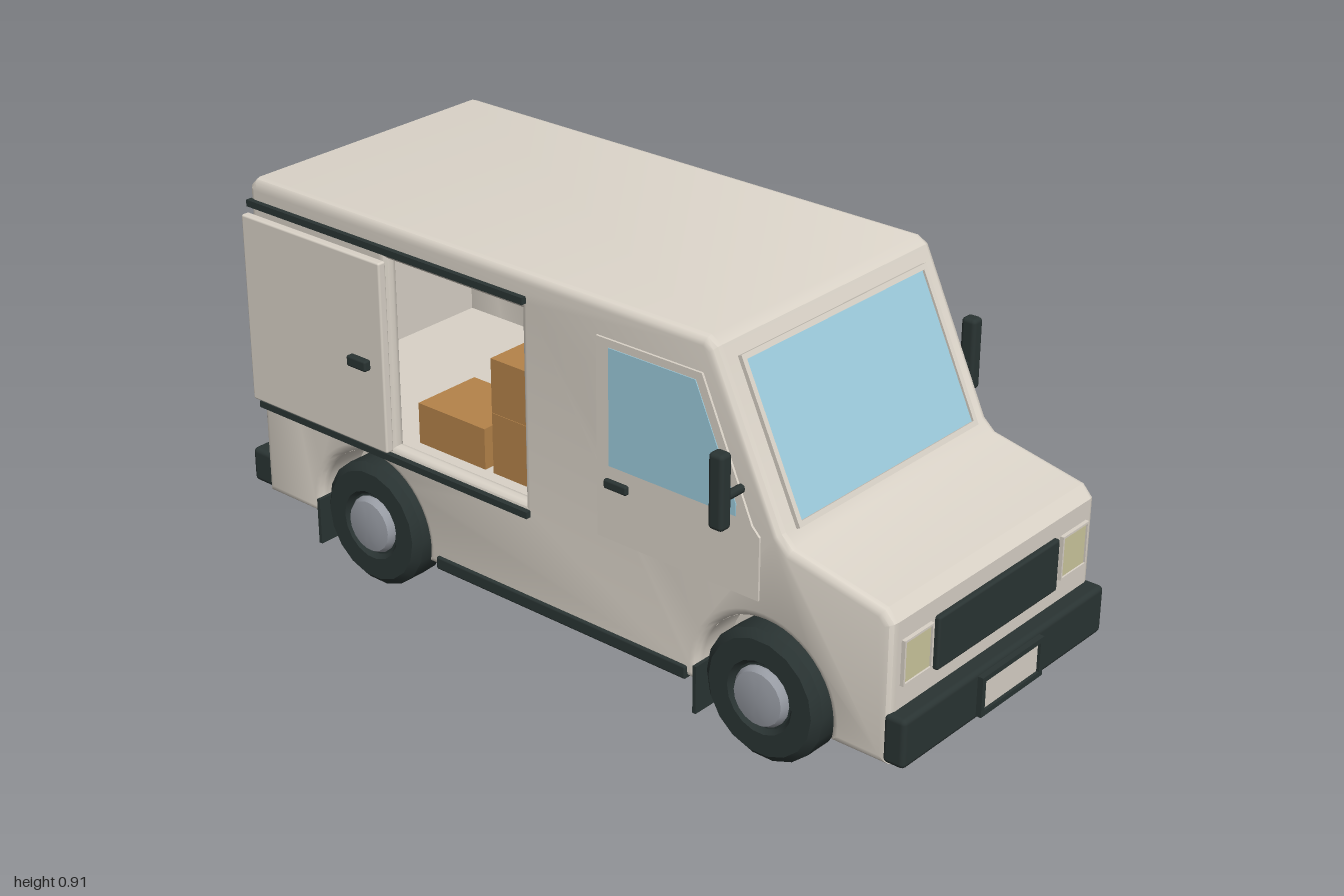
import * as THREE from 'three';
import { toCreasedNormals } from 'three/addons/utils/BufferGeometryUtils.js';
import { RoundedBoxGeometry } from 'three/addons/geometries/RoundedBoxGeometry.js';

const mat = (name, color, side = THREE.FrontSide) => {
  const m = new THREE.MeshStandardMaterial({ color, side });
  m.name = name;
  return m;
};

export function createModel() {
  const van = new THREE.Group();
  van.name = 'deliveryVan';
  const paint = mat('cream paint', 0xd9d2c7, THREE.DoubleSide);
  const dark = mat('dark rubber', 0x2a3433);
  const glass = mat('window glass', 0x9ccbdc);
  const blue = mat('blue panel', 0x3f73c4);
  const metal = mat('grey metal', 0x979ba3);
  const red = mat('tail light red', 0xb5402f);
  const lamp = mat('headlight cream', 0xcdc79e);
  const card = mat('cardboard', 0xb5834a);

  const add = (name, geo, m, x = 0, y = 0, z = 0) => {
    const mesh = new THREE.Mesh(geo, m);
    mesh.name = name;
    mesh.position.set(x, y, z);
    van.add(mesh);
    return mesh;
  };
  // box given by its min and max on each axis
  const box = (name, m, x0, x1, y0, y1, z0, z1, r = 0) => {
    const s = [Math.abs(x1 - x0), y1 - y0, z1 - z0];
    const g = r ? new RoundedBoxGeometry(...s, 2, r) : new THREE.BoxGeometry(...s);
    return add(name, g, m, (x0 + x1) / 2, (y0 + y1) / 2, (z0 + z1) / 2);
  };
  const poly = (pts) => new THREE.Shape(pts.map((p) => new THREE.Vector2(p[0], p[1])));
  // extrude a (z, y) side shape, centred across x
  const sideExtrude = (shape, depth, opts = {}) => {
    const g = new THREE.ExtrudeGeometry(shape, { depth, bevelEnabled: false, curveSegments: 14, ...opts });
    g.translate(0, 0, -depth / 2).rotateY(-Math.PI / 2);
    return toCreasedNormals(g, 0.6);
  };
  // rectangular border facing z
  const frame = (w, h, t, d) => {
    const rect = (a, b) => [[-a, -b], [a, -b], [a, b], [-a, b]];
    const s = poly(rect(w / 2 + t, h / 2 + t));
    s.holes.push(poly(rect(w / 2, h / 2)));
    return new THREE.ExtrudeGeometry(s, { depth: d, bevelEnabled: false });
  };

  const axles = [0.626, -0.518];
  const axleY = 0.153, archR = 0.175;

  // body shell: front, windscreen slope, roof and back
  const outline = [[-0.88, 0.115], [-0.88, 0.895], [-0.86, 0.915], [0.465, 0.915], [0.492, 0.9],
    [0.662, 0.54], [0.69, 0.515], [0.92, 0.467], [0.945, 0.44], [0.945, 0.115]];
  const inner = [[0.925, 0.115], [0.925, 0.44], [0.66, 0.495], [0.64, 0.52], [0.475, 0.875],
    [0.46, 0.895], [-0.86, 0.895], [-0.86, 0.115]];
  add('bodyShell', sideExtrude(poly([...outline, ...inner]), 0.686), paint);

  // side walls with wheel arches, the left-hand negative side having a doorway
  for (const s of [1, -1]) {
    const wall = poly(outline);
    const a = Math.asin((axleY - 0.115) / archR);
    for (const z of axles) wall.absarc(z, axleY, archR, -a, Math.PI + a, false);
    if (s < 0) wall.holes.push(poly([[-0.44, 0.375], [-0.04, 0.375], [-0.04, 0.83], [-0.44, 0.83]]));
    add('sideWall', sideExtrude(wall, 0.001, {
      bevelEnabled: true, bevelThickness: 0.02, bevelSize: 0.02, bevelOffset: -0.02, bevelSegments: 3,
    }), paint, s * 0.343);
    for (const [z0, z1] of [[-0.87, -0.69], [-0.347, 0.455], [0.797, 0.94]])
      box('sideFloor', paint, s * 0.25, s * 0.345, 0.115, 0.13, z0, z1);
  }
  box('underFloor', paint, -0.25, 0.25, 0.115, 0.13, -0.87, 0.94);
  box('cargoFloor', paint, -0.335, 0.335, 0.355, 0.37, -0.86, 0.6);

  // wheels, wells and mud flaps
  const tyreProfile = [[0.06, -0.052], [0.135, -0.052], [0.153, -0.035], [0.153, 0.035], [0.135, 0.052],
    [0.085, 0.052], [0.075, 0.04], [0.06, 0.04]].map((p) => new THREE.Vector2(...p));
  const hubProfile = [[0, -0.05], [0.07, -0.05], [0.07, 0.045], [0.062, 0.058], [0.04, 0.062], [0, 0.064]]
    .map((p) => new THREE.Vector2(...p));
  const tyreGeo = toCreasedNormals(new THREE.LatheGeometry(tyreProfile, 18), 0.5);
  const hubGeo = toCreasedNormals(new THREE.LatheGeometry(hubProfile, 18), 0.5);
  for (const s of [1, -1]) for (const z of axles) {
    for (const [name, g, m] of [['tyre', tyreGeo, dark], ['hub', hubGeo, metal]])
      add(name, g, m, s * 0.321, axleY, z).rotation.z = -s * Math.PI / 2;
    const well = new THREE.CylinderGeometry(archR, archR, 0.1, 16, 1, true, -Math.PI / 2, Math.PI);
    well.rotateX(-Math.PI / 2).rotateY(Math.PI / 2);
    add('wheelWell', well, paint, s * 0.295, axleY, z);
    const cap = new THREE.CircleGeometry(archR, 16, 0, Math.PI).rotateY(Math.PI / 2);
    add('wellInnerWall', cap, paint, s * 0.25, axleY, z);
    box('mudFlap', dark, s * 0.275, s * 0.38, 0.05, 0.165, z - 0.172, z - 0.163);
  }

  // windscreen
  const screen = new THREE.Group();
  screen.name = 'windscreen';
  screen.position.set(0, 0.703, 0.586);
  screen.rotation.x = -Math.atan2(0.17, 0.36);
  const pane = new THREE.Mesh(new THREE.BoxGeometry(0.605, 0.348, 0.009), glass);
  pane.name = 'windscreenGlass';
  const border = new THREE.Mesh(frame(0.6, 0.345, 0.012, 0.01), paint);
  border.name = 'windscreenFrame';
  screen.add(pane, border);
  van.add(screen);

  // grille, headlights, front bumper
  box('grille', dark, -0.218, 0.216, 0.276, 0.4, 0.935, 0.957, 0.006);
  for (const s of [1, -1]) {
    box('headlight', lamp, s * 0.238, s * 0.325, 0.296, 0.39, 0.944, 0.95);
    add('headlightFrame', frame(0.088, 0.094, 0.005, 0.01), paint, s * 0.2815, 0.343, 0.944);
  }
  box('frontBumper', dark, -0.363, 0.363, 0.122, 0.237, 0.93, 0.985, 0.012);
  add('frontPlateFrame', frame(0.2, 0.07, 0.012, 0.014), dark, 0, 0.18, 0.984);
  box('frontPlate', paint, -0.1, 0.1, 0.145, 0.215, 0.984, 0.991);

  // cab doors, windows, handles, mirrors and sills
  const door = [[0.615, 0.375], [0.18, 0.375], [0.18, 0.838], [0.462, 0.838], [0.595, 0.54], [0.615, 0.52]];
  const win = [[0.555, 0.55], [0.215, 0.55], [0.215, 0.82], [0.447, 0.82], [0.555, 0.578]];
  for (const s of [1, -1]) {
    add('cabDoor', sideExtrude(poly(door), 0.012), paint, s * 0.363);
    add('cabWindow', sideExtrude(poly(win), 0.008), glass, s * 0.367);
    box('cabDoorHandle', dark, s * 0.365, s * 0.379, 0.498, 0.52, 0.205, 0.268, 0.005);
    box('mirror', dark, s * 0.415, s * 0.449, 0.55, 0.721, 0.544, 0.582, 0.01);
    const arm = add('mirrorArm', new THREE.CylinderGeometry(0.01, 0.01, 0.07, 8), dark, s * 0.388, 0.614, 0.563);
    arm.rotation.z = Math.PI / 2;
    box('sill', dark, s * 0.345, s * 0.371, 0.114, 0.146, -0.31, 0.425, 0.005);
  }

  // side advertising panel
  box('bluePanel', blue, 0.36, 0.375, 0.405, 0.805, -0.77, -0.022, 0.004);

  // sliding door slid open on its rails
  box('slidingDoor', paint, -0.394, -0.372, 0.373, 0.835, -0.875, -0.43, 0.005);
  box('slidingDoorHandle', dark, -0.412, -0.392, 0.568, 0.594, -0.53, -0.47, 0.005);
  for (const y of [0.857, 0.352]) box('doorRail', dark, -0.376, -0.36, y - 0.008, y + 0.008, -0.875, -0.02);

  // cargo and cab seats
  box('lowerCarton', card, -0.3, -0.1, 0.37, 0.518, -0.19, -0.01);
  box('upperCarton', card, -0.3, -0.13, 0.519, 0.65, -0.19, -0.03);
  box('rearCarton', card, -0.3, -0.12, 0.37, 0.47, -0.42, -0.215);
  box('innerCarton', card, -0.07, 0.14, 0.37, 0.53, -0.3, -0.08);
  for (const s of [1, -1]) {
    box('seatBack', blue, s * 0.07, s * 0.25, 0.37, 0.68, 0.22, 0.28, 0.02);
    box('seatCushion', blue, s * 0.07, s * 0.25, 0.37, 0.45, 0.27, 0.45, 0.02);
  }

  // rear doors, lights, step and bumper
  for (const s of [1, -1]) {
    box('rearDoor', paint, s * 0.003, s * 0.303, 0.37, 0.85, -0.886, -0.876);
    box('rearWindow', glass, s * 0.05, s * 0.268, 0.58, 0.81, -0.89, -0.882);
    add('rearWindowFrame', frame(0.218, 0.23, 0.008, 0.01), paint, s * 0.159, 0.695, -0.894);
    box('rearDoorHandle', dark, s * 0.028, s * 0.052, 0.5, 0.58, -0.903, -0.884, 0.006);
    box('tailLight', red, s * 0.322, s * 0.358, 0.39, 0.6, -0.896, -0.872, 0.004);
  }
  add('rearDoorSurround', frame(0.61, 0.485, 0.012, 0.01), paint, 0, 0.61, -0.888);
  box('rearStep', metal, -0.255, 0.255, 0.22, 0.246, -1, -0.875, 0.008);
  box('rearBumper', dark, -0.358, 0.358, 0.125, 0.212, -0.935, -0.865, 0.012);
  box('rearPlate', paint, -0.105, 0.105, 0.138, 0.2, -0.94, -0.932);

  return van;
}
